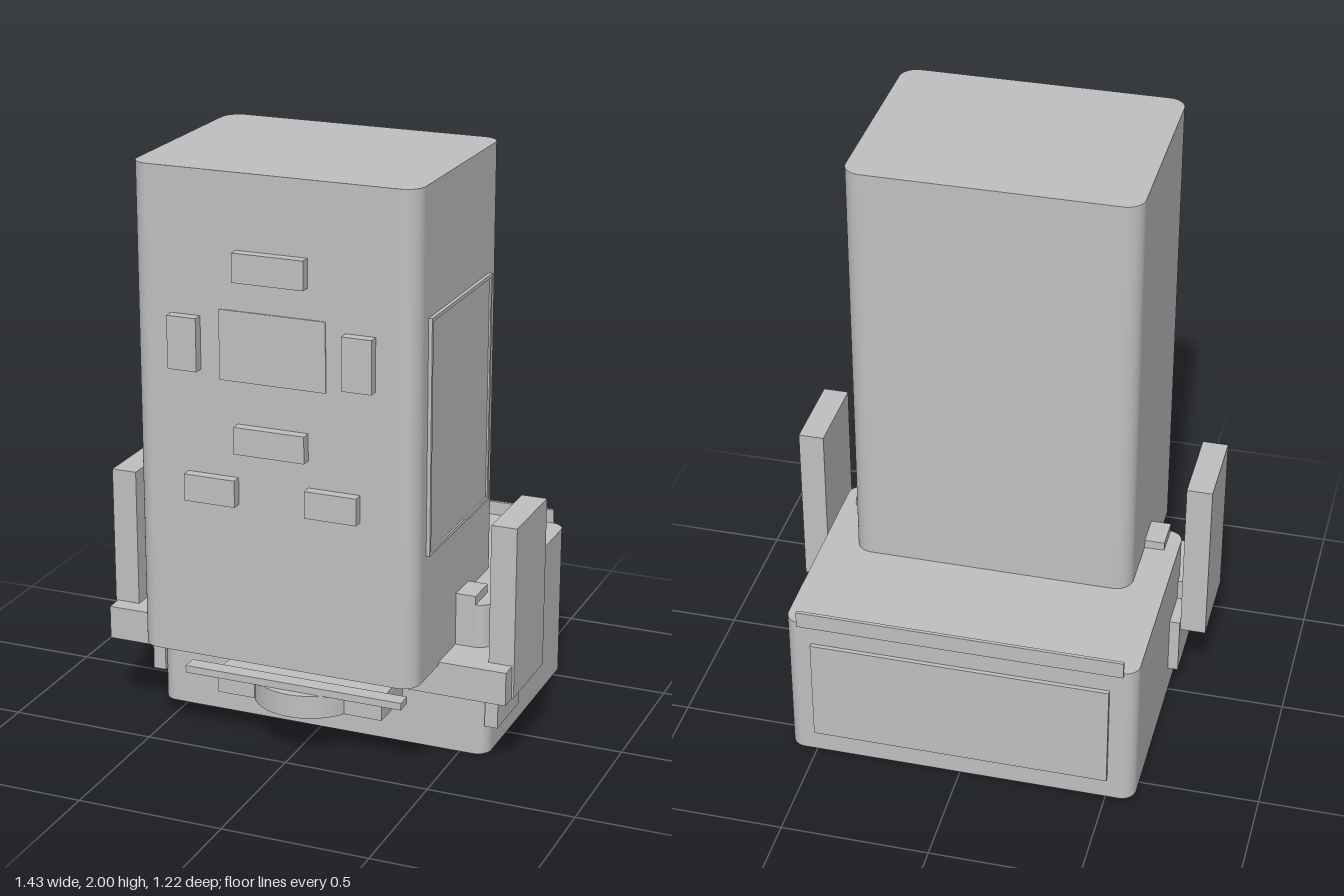
import * as THREE from 'three';

export function createModel() {
  const model = new THREE.Group();
  const grey = new THREE.MeshStandardMaterial({ color: 0xc0c0c0 });
  grey.name = 'light grey';

  const add = (name, geometry) => {
    const mesh = new THREE.Mesh(geometry, grey);
    mesh.name = name;
    model.add(mesh);
    return mesh;
  };

  // Box given by its limits on each axis
  const box = (name, x0, x1, y0, y1, z0, z1) =>
    add(name, new THREE.BoxGeometry(x1 - x0, y1 - y0, z1 - z0))
      .position.set((x0 + x1) / 2, (y0 + y1) / 2, (z0 + z1) / 2);

  // Upright block with rounded vertical edges
  const roundedBlock = (name, hw, y0, y1, z0, z1, r) => {
    const hd = (z1 - z0) / 2;
    const s = new THREE.Shape();
    s.moveTo(-hw + r, -hd);
    s.lineTo(hw - r, -hd);
    s.absarc(hw - r, -hd + r, r, -Math.PI / 2, 0);
    s.lineTo(hw, hd - r);
    s.absarc(hw - r, hd - r, r, 0, Math.PI / 2);
    s.lineTo(-hw + r, hd);
    s.absarc(-hw + r, hd - r, r, Math.PI / 2, Math.PI);
    s.lineTo(-hw, -hd + r);
    s.absarc(-hw + r, -hd + r, r, Math.PI, Math.PI * 1.5);
    const g = new THREE.ExtrudeGeometry(s, { depth: y1 - y0, bevelEnabled: false, curveSegments: 10 });
    g.rotateX(-Math.PI / 2);
    add(name, g).position.set(0, y0, (z0 + z1) / 2);
  };

  // Main masses
  roundedBlock('body', 0.48, 0.375, 2, -0.165, 0.575, 0.06);
  roundedBlock('base', 0.595, 0, 0.535, -0.595, 0.2, 0.05);

  // Raised blocks on the front face
  box('upperBlock', -0.12, 0.12, 1.66, 1.755, 0.57, 0.61);
  box('middleBlock', -0.12, 0.12, 1.1, 1.19, 0.57, 0.61);
  box('frontPlate', -0.18, 0.18, 1.33, 1.56, 0.57, 0.579);

  // Side panel with a raised frame
  box('sidePanel', 0.475, 0.486, 0.81, 1.57, -0.055, 0.47);
  box('sideFrameBottom', 0.475, 0.492, 0.8, 0.812, -0.065, 0.48);
  box('sideFrameTop', 0.475, 0.492, 1.568, 1.58, -0.065, 0.48);
  box('sideFrameBack', 0.475, 0.492, 0.812, 1.568, -0.065, -0.053);
  box('sideFrameFront', 0.475, 0.492, 0.812, 1.568, 0.468, 0.48);

  // Back panel and lip
  box('backPanel', -0.505, 0.505, 0.08, 0.455, -0.61, -0.59);
  box('backLip', -0.55, 0.55, 0.525, 0.583, -0.605, -0.593);

  // Cross bar and front foot assembly
  box('crossBar', -0.71, 0.71, 0.27, 0.385, 0.12, 0.355);
  box('footBlock', -0.295, 0.295, 0.155, 0.235, 0.19, 0.385);
  box('footStrip', -0.385, 0.385, 0.235, 0.26, 0.39, 0.445);
  add('footDisc', new THREE.CylinderGeometry(0.19, 0.19, 0.08, 40)).position.set(0, 0.195, 0.285);

  // Mirrored parts
  for (const side of [-1, 1]) {
    const pair = (name, x0, x1, ...rest) =>
      box(name, Math.min(side * x0, side * x1), Math.max(side * x0, side * x1), ...rest);
    pair('sideBlock', 0.245, 0.345, 1.355, 1.53, 0.57, 0.61);
    pair('lowerBlock', 0.12, 0.295, 0.92, 1.01, 0.57, 0.61);
    pair('arm', 0.63, 0.717, 0.272, 0.86, 0, 0.295);
    pair('clip', 0.585, 0.63, 0.105, 0.31, -0.015, 0.195);
    pair('topTab', 0.47, 0.548, 0.525, 0.565, 0.085, 0.2);
  }
  return model;
}
